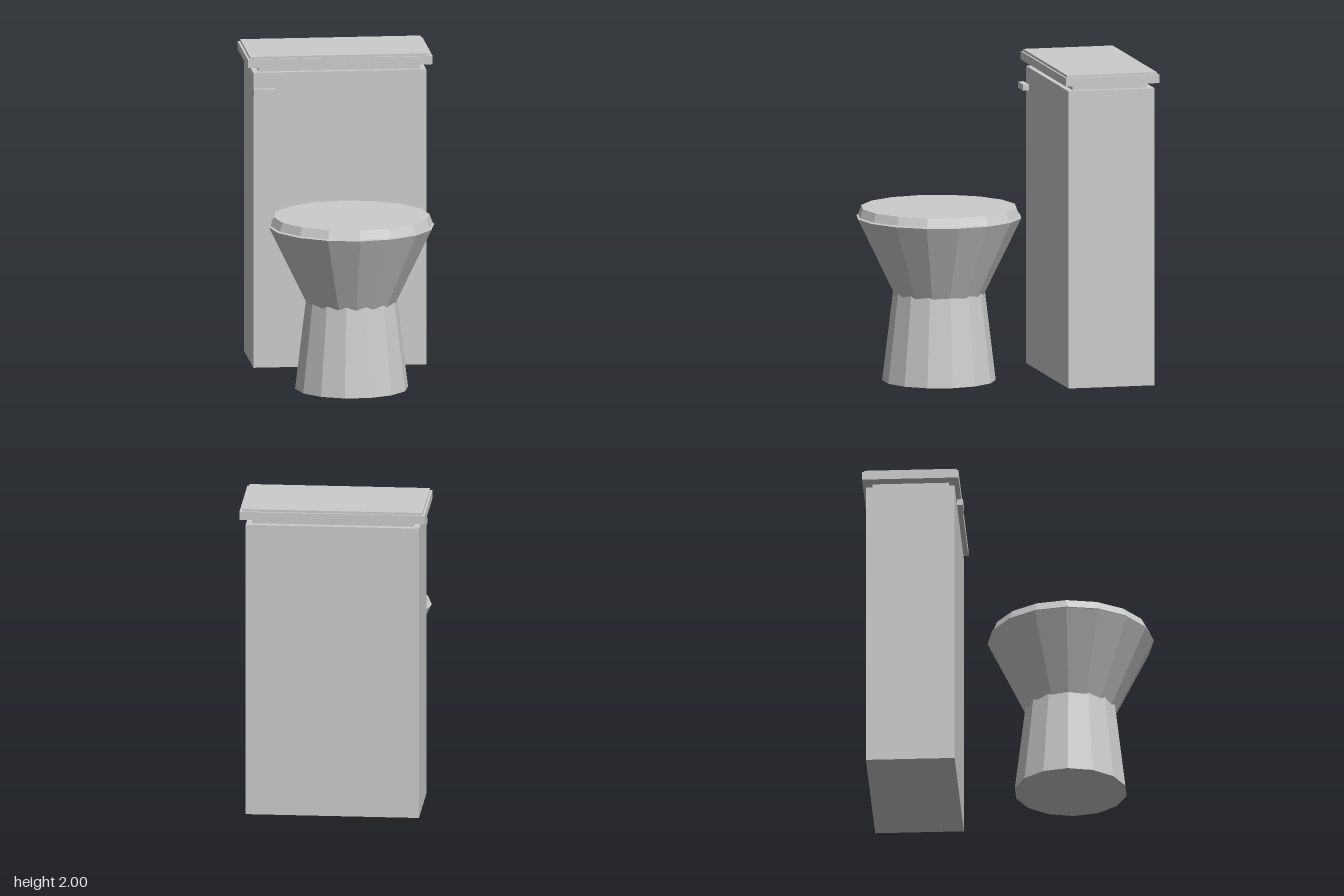
import * as THREE from 'three';

export function createModel() {
  const model = new THREE.Group();
  model.name = 'toilet';

  const porcelain = new THREE.MeshStandardMaterial({ color: 0xcccccc });
  porcelain.name = 'porcelain grey';

  const add = (name, geometry, x, y, z) => {
    const mesh = new THREE.Mesh(geometry, porcelain);
    mesh.name = name;
    mesh.position.set(x, y, z);
    model.add(mesh);
    return mesh;
  };

  // Box given by its extents on each axis
  const box = (name, x0, x1, y0, y1, z0, z1) =>
    add(name, new THREE.BoxGeometry(x1 - x0, y1 - y0, z1 - z0),
      (x0 + x1) / 2, (y0 + y1) / 2, (z0 + z1) / 2);

  // Faceted cone section, with a corner on the x axis
  const bowlZ = 0.381;
  const cone = (name, rBottom, rTop, y0, y1, sides) => {
    const geometry = new THREE.CylinderGeometry(rTop, rBottom, y1 - y0, sides).toNonIndexed();
    geometry.rotateY(Math.PI / 2);
    geometry.computeVertexNormals();
    return add(name, geometry, 0, (y0 + y1) / 2, bowlZ);
  };

  // Pedestal runs up into the bowl, so the two meet in a scalloped seam
  cone('pedestal', 0.358, 0.276, 0, 0.68, 14);
  cone('bowl', 0.236, 0.525, 0.45, 1.042, 16);
  cone('seatLid', 0.515, 0.494, 1.05, 1.105, 16);

  // Cistern with stepped lid
  box('cistern', -0.548, 0.548, 0, 1.895, -0.883, -0.323);
  box('cisternNeck', -0.511, 0.511, 1.895, 1.932, -0.843, -0.36);
  box('cisternLid', -0.586, 0.586, 1.932, 1.985, -0.905, -0.297);
  box('cisternLidTop', -0.571, 0.571, 1.985, 2, -0.892, -0.309);

  // Flush lever
  box('flushLever', -0.55, -0.412, 1.758, 1.797, -0.307, -0.27);

  return model;
}
